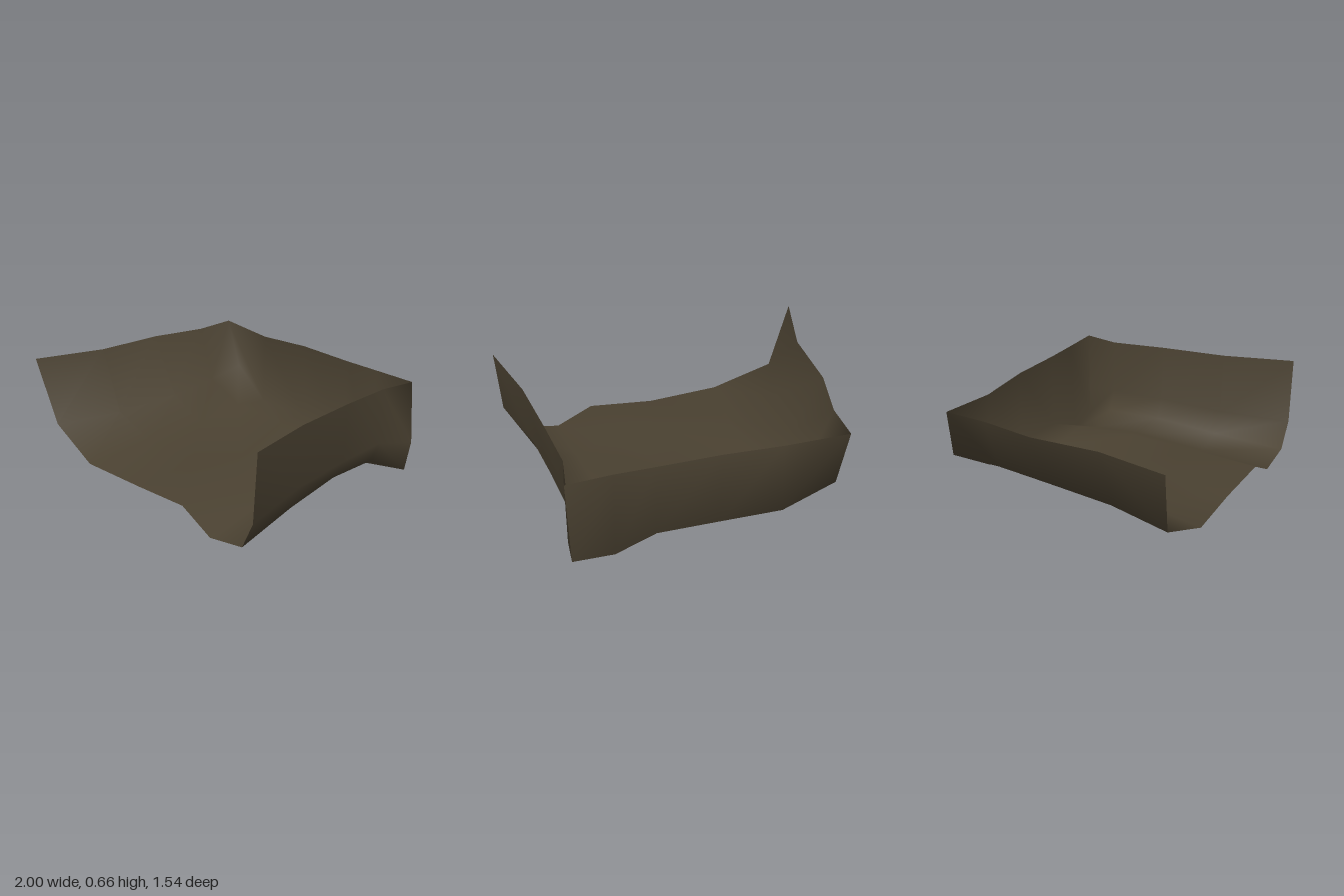
import * as THREE from 'three';
import { mergeVertices } from 'three/addons/utils/BufferGeometryUtils.js';

// Smooth double-sided sheet lofted through cross-sections of equal length
function loft(sections, material) {
  const columns = sections[0].length;
  const index = [];
  for (let r = 0; r < sections.length - 1; r++) {
    for (let c = 0; c < columns - 1; c++) {
      const a = r * columns + c;
      const b = a + columns;
      index.push(a, a + 1, b, a + 1, b + 1, b);
    }
  }
  const raw = new THREE.BufferGeometry();
  raw.setAttribute('position', new THREE.Float32BufferAttribute(sections.flat(2), 3));
  raw.setIndex(index);
  const geometry = mergeVertices(raw, 1e-4);
  geometry.computeVertexNormals();
  return new THREE.Mesh(geometry, material);
}

export function createModel() {
  const group = new THREE.Group();
  const brown = new THREE.MeshStandardMaterial({ color: 0x4a4131, side: THREE.DoubleSide });
  brown.name = 'dark brown';

  // Each section runs from the right rim, across the floor, to the left rim
  const front = [
    [-1, 0.655, 0.72], [-0.86, 0.245, 0.68], [-0.48, 0.1, 0.725], [-0.02, 0.09, 0.715],
    [0.39, 0.115, 0.745], [0.62, 0, 0.75], [0.88, 0.04, 0.76], [0.97, 0.21, 0.77], [1, 0.625, 0.77],
  ];
  const middleFront = [
    [-0.88, 0.65, 0.28], [-0.73, 0.26, 0.28], [-0.42, 0.15, 0.29], [0, 0.14, 0.3],
    [0.36, 0.165, 0.31], [0.59, 0.06, 0.31], [0.81, 0.1, 0.31], [0.87, 0.24, 0.32], [0.9, 0.625, 0.32],
  ];
  const middle = [
    [-0.87, 0.65, -0.15], [-0.68, 0.285, -0.15], [-0.41, 0.17, -0.13], [0, 0.06, -0.12],
    [0.34, 0.185, -0.11], [0.56, 0.113, -0.15], [0.77, 0.15, -0.1], [0.84, 0.27, -0.1], [0.86, 0.63, -0.1],
  ];
  const middleBack = [
    [-0.79, 0.65, -0.49], [-0.67, 0.32, -0.48], [-0.4, 0.205, -0.47], [0, 0.185, -0.47],
    [0.33, 0.195, -0.46], [0.56, 0.1, -0.46], [0.76, 0.15, -0.45], [0.82, 0.28, -0.45], [0.83, 0.625, -0.45],
  ];
  // Foot of the back wall, with both corners running up to the rim
  const cornerRight = [-0.78, 0.66, -0.75];
  const cornerLeft = [0.875, 0.63, -0.67];
  const backFoot = [
    cornerRight, [-0.7, 0.35, -0.775], [-0.4, 0.17, -0.72], [-0.02, 0.175, -0.71],
    [0.36, 0.16, -0.68], [0.6, 0.03, -0.64], [0.86, 0.06, -0.66], [0.88, 0.24, -0.69], cornerLeft,
  ];
  // Rim of the back wall
  const backRim = [
    cornerRight, cornerRight, [-0.39, 0.635, -0.71], [-0.02, 0.65, -0.7],
    [0.36, 0.64, -0.68], [0.6, 0.638, -0.67], cornerLeft, cornerLeft, cornerLeft,
  ];

  // The sections go from front to back, so reverse them to make the inside the front face
  const shell = loft([backRim, backFoot, middleBack, middle, middleFront, front].reverse(), brown);
  shell.name = 'openTrayShell';
  group.add(shell);
  return group;
}
